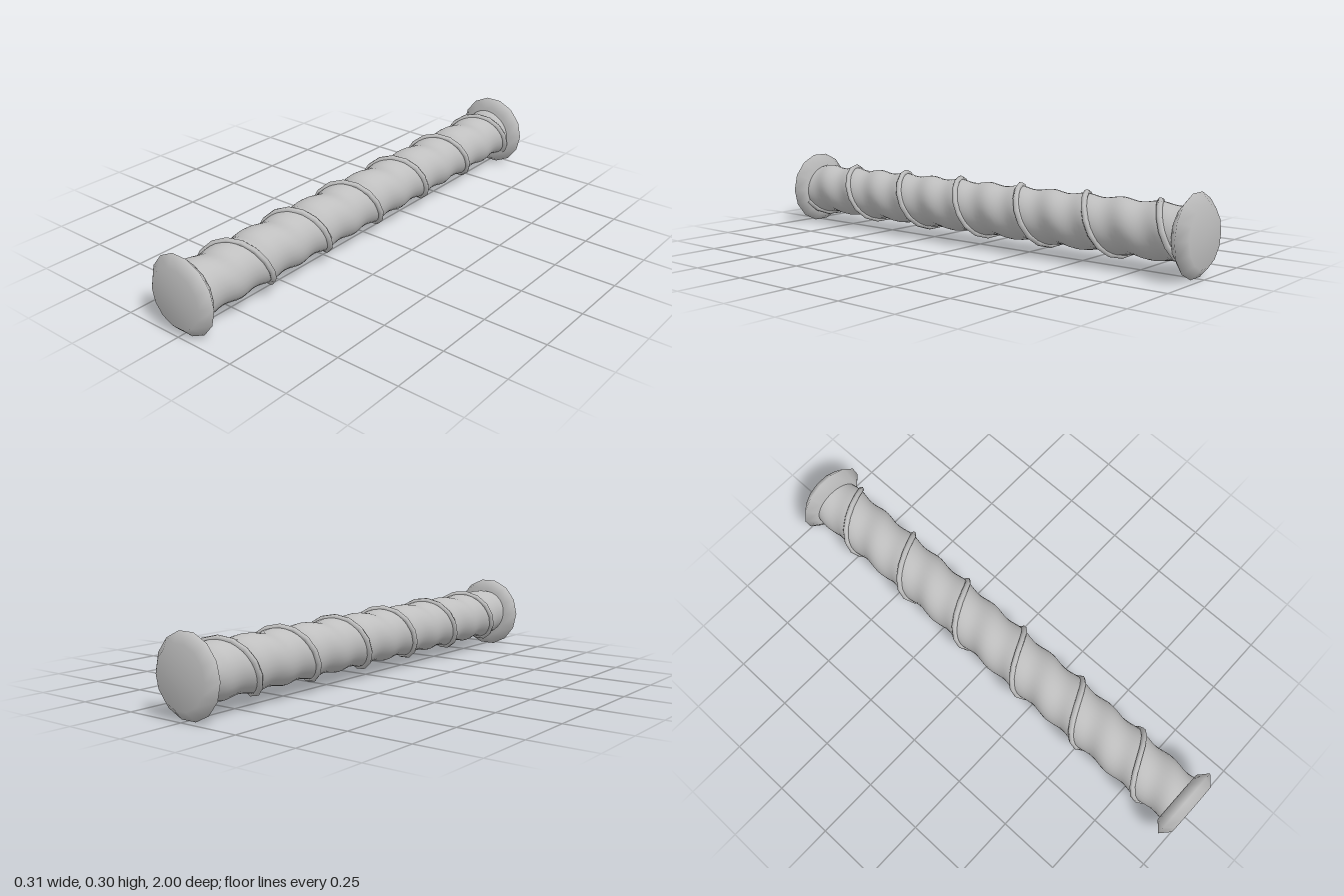
import * as THREE from 'three';
import { mergeVertices } from 'three/addons/utils/BufferGeometryUtils.js';

const CENTER_Y = 0.15;
const SIDES = 14;
const PITCH = 0.31; // length of one wire turn
const HALF = 0.935; // half length of the shaft

// Angle of the wire around the shaft at a given z
const wireAngle = (z) => ((z + 0.9) / PITCH) * Math.PI * 2;

class Helix extends THREE.Curve {
  getPoint(t, target = new THREE.Vector3()) {
    const z = THREE.MathUtils.lerp(-HALF, HALF, t);
    const a = wireAngle(z);
    return target.set(Math.cos(a) * 0.109, Math.sin(a) * 0.109, z);
  }
}

export function createModel() {
  const group = new THREE.Group();
  const gray = new THREE.MeshStandardMaterial({ color: 0xbfbfbf });
  gray.name = 'light gray';

  const add = (name, geometry) => {
    const mesh = new THREE.Mesh(geometry, gray);
    mesh.name = name;
    mesh.position.y = CENTER_Y;
    group.add(mesh);
    return mesh;
  };

  // Shaft: a softly twisted oval whose ridges follow the wire
  let shaft = new THREE.CylinderGeometry(0.103, 0.103, HALF * 2, SIDES * 2, 96, true);
  shaft.rotateX(Math.PI / 2);
  const p = shaft.attributes.position;
  for (let i = 0; i < p.count; i++) {
    const z = p.getZ(i);
    const a = Math.atan2(p.getY(i), p.getX(i));
    const r = 0.102 + 0.005 * Math.cos(2 * (a - wireAngle(z)));
    p.setXY(i, Math.cos(a) * r, Math.sin(a) * r);
  }
  shaft.deleteAttribute('uv');
  shaft.deleteAttribute('normal');
  shaft = mergeVertices(shaft);
  shaft.computeVertexNormals();
  add('shaft', shaft);

  // Wire wound six times around the shaft
  add('spiralWire', new THREE.TubeGeometry(new Helix(), 6 * SIDES, 0.012, 6, false));

  // Bevelled round caps at both ends
  const profile = [[0, 0.93], [0.115, 0.93], [0.154, 0.965], [0.115, 1], [0, 1]]
    .map(([r, y]) => new THREE.Vector2(r, y));
  const cap = new THREE.LatheGeometry(profile, SIDES, Math.PI / 2);
  cap.rotateX(Math.PI / 2);
  add('frontCap', cap);
  add('backCap', cap).rotation.y = Math.PI;

  return group;
}
